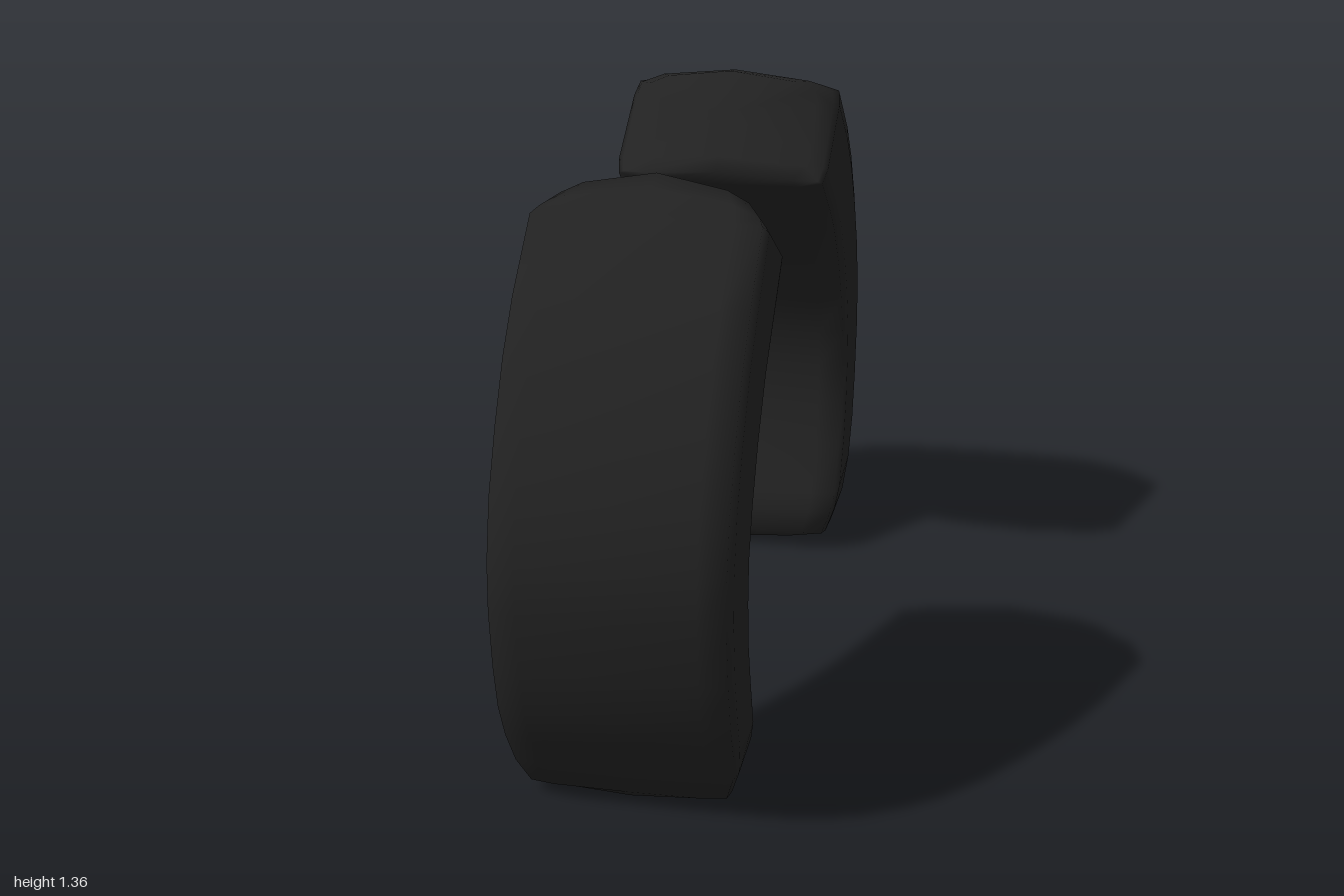
import * as THREE from 'three';

// Side outline from bottom to top: outer z, outer y, inner z, inner y, half width
const STATIONS = [
  [0.767, 0.008, 0.63, 0.025, 0.18],
  [0.80, 0.035, 0.606, 0.055, 0.23],
  [0.85, 0.11, 0.60, 0.118, 0.253],
  [0.90, 0.20, 0.62, 0.165, 0.262],
  [0.945, 0.29, 0.67, 0.29, 0.264],
  [0.976, 0.40, 0.70, 0.396, 0.264],
  [1.0, 0.545, 0.708, 0.498, 0.264],
  [1.0, 0.66, 0.70, 0.595, 0.264],
  [0.97, 0.80, 0.66, 0.696, 0.264],
  [0.907, 0.936, 0.595, 0.814, 0.264],
  [0.83, 1.065, 0.50, 0.937, 0.264],
  [0.74, 1.17, 0.42, 1.01, 0.264],
  [0.585, 1.307, 0.285, 1.12, 0.262],
  [0.51, 1.352, 0.25, 1.162, 0.25],
  [0.445, 1.365, 0.275, 1.195, 0.215],
];

// Half of the rounded cross-section: u across the width, v from outer (1) to inner (-1)
const HALF = [[0, 1], [0.74, 0.97], [0.97, 0.88], [1, 0.6], [1, -0.6], [0.97, -0.88], [0.74, -0.97], [0, -1]];
const RING = [...HALF, ...HALF.slice(1, -1).reverse().map(([u, v]) => [-u, v])];

function padGeometry() {
  const pos = [], index = [];
  const n = RING.length, last = STATIONS.length - 1;

  STATIONS.forEach(([oz, oy, iz, iy, w], i) => {
    // the ends bow slightly outward along the centre line
    const topPull = i >= last - 1 ? 0.04 : 0;
    const bottomPull = i === 0 ? 0.015 : 0;
    for (const [u, v] of RING) {
      const t = (1 - v) / 2;
      pos.push(
        u * w,
        oy + (iy - oy) * t + (bottomPull - topPull) * u * u,
        oz + (iz - oz) * t + topPull * u * u,
      );
    }
  });

  // skin between neighbouring rings
  for (let i = 0; i < last; i++) {
    for (let j = 0; j < n; j++) {
      const k = (j + 1) % n;
      const a = i * n + j, b = i * n + k, c = b + n, d = a + n;
      index.push(a, b, c, a, c, d);
    }
  }

  // end caps as fans round a centre point
  for (const i of [0, last]) {
    const [oz, oy, iz, iy] = STATIONS[i];
    const centre = pos.length / 3;
    pos.push(0, (oy + iy) / 2 - (i ? 0 : 0.011), (oz + iz) / 2);
    for (let j = 0; j < n; j++) {
      const a = i * n + j, b = i * n + (j + 1) % n;
      if (i) index.push(centre, a, b);
      else index.push(centre, b, a);
    }
  }

  const geometry = new THREE.BufferGeometry();
  geometry.setAttribute('position', new THREE.Float32BufferAttribute(pos, 3));
  geometry.setIndex(index);
  geometry.computeVertexNormals();
  return geometry;
}

export function createModel() {
  const model = new THREE.Group();
  model.name = 'curvedPads';
  const geometry = padGeometry();
  const material = new THREE.MeshStandardMaterial({ color: 0x222222 });

  // the rear pad is the front pad turned half way round
  for (const [name, angle] of [['frontPad', 0], ['rearPad', Math.PI]]) {
    const pad = new THREE.Mesh(geometry, material);
    pad.name = name;
    pad.rotation.y = angle;
    model.add(pad);
  }
  return model;
}
